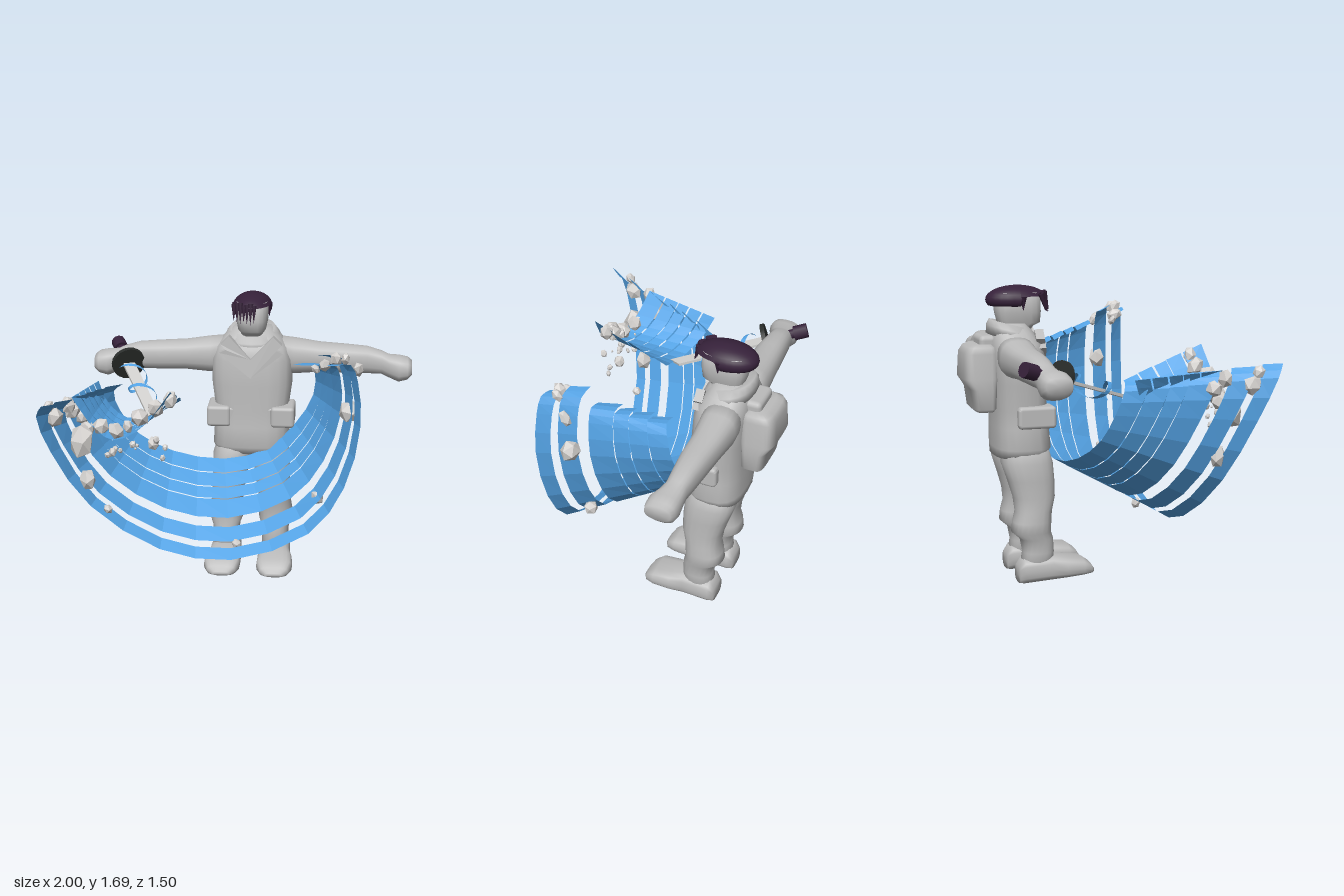
import * as THREE from 'three';
import { RoundedBoxGeometry } from 'three/addons/geometries/RoundedBoxGeometry.js';

const mat = (name, color, side = THREE.FrontSide) => {
  const m = new THREE.MeshStandardMaterial({ color, side });
  m.name = name;
  return m;
};
const V = (a) => new THREE.Vector3(...a);
const MID = 0.055; // the figure's own centre line

// Smooth closed loft. Sections: [position on axis, u centre, v centre, u radius, v radius]
function loft(axis, sections, power = 2.5, sides = 20) {
  const place = {
    x: (s, u, v) => [s, u, v], // u = y, v = z
    y: (s, u, v) => [u, s, v], // u = x, v = z
    z: (s, u, v) => [u, v, s], // u = x, v = y
  }[axis];
  const pos = [], idx = [], n = sections.length;
  const sup = (c) => Math.sign(c) * Math.abs(c) ** (2 / power);
  for (const [s, u, v, ru, rv] of sections)
    for (let i = 0; i < sides; i++) {
      const a = (i / sides) * Math.PI * 2;
      pos.push(...place(s, u + ru * sup(Math.cos(a)), v + rv * sup(Math.sin(a))));
    }
  const flip = (axis === 'y') !== (sections[n - 1][0] < sections[0][0]);
  const tri = (a, b, c) => (flip ? idx.push(a, c, b) : idx.push(a, b, c));
  for (let r = 0; r < n - 1; r++)
    for (let i = 0; i < sides; i++) {
      const j = (i + 1) % sides, a = r * sides, b = a + sides;
      tri(a + i, a + j, b + j);
      tri(a + i, b + j, b + i);
    }
  for (const r of [0, n - 1]) { // end caps
    const [s, u, v] = sections[r], c = pos.length / 3;
    pos.push(...place(s, u, v));
    for (let i = 0; i < sides; i++) {
      const a = r * sides + i, b = r * sides + (i + 1) % sides;
      r ? tri(c, a, b) : tri(c, b, a);
    }
  }
  const g = new THREE.BufferGeometry();
  g.setAttribute('position', new THREE.Float32BufferAttribute(pos, 3));
  g.setIndex(idx);
  g.computeVertexNormals();
  return g;
}

// Faceted open ribbon; edge(t, side) gives a point on either edge
function ribbon(edge, steps) {
  const pos = [], idx = [];
  for (let i = 0; i <= steps; i++) {
    for (const side of [0, 1]) pos.push(...edge(i / steps, side).toArray());
    if (i < steps) idx.push(2 * i, 2 * i + 1, 2 * i + 3, 2 * i, 2 * i + 3, 2 * i + 2);
  }
  const g = new THREE.BufferGeometry();
  g.setAttribute('position', new THREE.Float32BufferAttribute(pos, 3));
  g.setIndex(idx);
  const flat = g.toNonIndexed();
  flat.computeVertexNormals();
  return flat;
}

export function createModel() {
  const model = new THREE.Group();
  const clay = mat('clay grey', 0xbcbcbc), hairMat = mat('dark plum', 0x36213a);
  const guardMat = mat('guard black', 0x2a2d2b), steel = mat('steel', 0xd2d1cf);
  const stone = mat('pale stone', 0xd6d3d0), blue = mat('wave blue', 0x55a4e6, THREE.DoubleSide);
  const add = (name, geo, m, parent = model) => {
    const mesh = new THREE.Mesh(geo, m);
    mesh.name = name;
    parent.add(mesh);
    return mesh;
  };
  const box = (name, w, h, d, r, x, y, z) =>
    add(name, new RoundedBoxGeometry(w, h, d, 2, r), clay).position.set(x, y, z);

  // Coat and head
  add('coat', loft('y', [
    [0.73, MID, -0.43, 0.21, 0.145], [0.78, MID, -0.415, 0.232, 0.163], [0.9, MID, -0.42, 0.225, 0.158],
    [1.0, MID, -0.425, 0.22, 0.152], [1.15, MID, -0.43, 0.24, 0.157], [1.3, MID, -0.44, 0.24, 0.157],
    [1.37, MID, -0.45, 0.215, 0.148], [1.43, MID, -0.465, 0.165, 0.12], [1.48, MID, -0.475, 0.11, 0.09],
  ], 2.8), clay);
  add('head', loft('y', [
    [1.42, MID, -0.44, 0.07, 0.08], [1.46, MID, -0.43, 0.072, 0.095], [1.48, MID, -0.415, 0.082, 0.12],
    [1.54, MID, -0.42, 0.094, 0.13], [1.65, MID, -0.425, 0.096, 0.13],
  ], 3), clay);

  // Collar that rises behind the neck
  const collar = add('collar', loft('y', [
    [1.39, MID, -0.45, 0.185, 0.145], [1.44, MID, -0.455, 0.16, 0.14],
    [1.475, MID, -0.465, 0.13, 0.115], [1.465, MID, -0.46, 0.08, 0.08],
  ], 2.3), clay);
  const cp = collar.geometry.attributes.position;
  for (let i = 0; i < cp.count; i++) cp.setY(i, cp.getY(i) - (cp.getZ(i) + 0.47) * 0.25);
  collar.geometry.computeVertexNormals();

  // Lapels laid over the chest
  for (const s of [-1, 1]) {
    const outline = [[0, 1.21], [0.19, 1.35], [0.15, 1.37], [0.18, 1.4], [0.13, 1.45], [0.0, 1.32]];
    const shape = new THREE.Shape(outline.map(([x, y]) => new THREE.Vector2(MID + s * x, y)));
    const g = new THREE.ExtrudeGeometry(shape, { depth: 0.05, bevelEnabled: false });
    const p = g.attributes.position;
    for (let i = 0; i < p.count; i++) {
      const dx = p.getX(i) - MID;
      p.setZ(i, p.getZ(i) - 0.305 - (p.getY(i) - 1.2) * 0.15 - 0.7 * dx * dx);
    }
    g.computeVertexNormals();
    add('lapel', g, clay);
  }

  // Limbs, boots and hip pouches, mirrored
  for (const s of [-1, 1]) {
    const X = (d) => MID + s * d;
    add('leg', loft('y', [
      [0.8, X(0.105), -0.415, 0.1, 0.13], [0.7, X(0.12), -0.405, 0.115, 0.148], [0.6, X(0.128), -0.385, 0.107, 0.135],
      [0.5, X(0.138), -0.37, 0.1, 0.12], [0.42, X(0.146), -0.375, 0.096, 0.105], [0.36, X(0.15), -0.385, 0.102, 0.11],
      [0.3, X(0.15), -0.39, 0.102, 0.112], [0.26, X(0.15), -0.36, 0.084, 0.095], [0.18, X(0.15), -0.35, 0.08, 0.09],
      [0.06, X(0.15), -0.365, 0.085, 0.095],
    ], 2.4), clay);
    add('boot', loft('z', [
      [-0.47, X(0.152), 0.055, 0.07, 0.05], [-0.44, X(0.152), 0.075, 0.088, 0.073], [-0.28, X(0.153), 0.085, 0.092, 0.073],
      [-0.2, X(0.156), 0.083, 0.106, 0.061], [-0.1, X(0.158), 0.082, 0.108, 0.05], [-0.05, X(0.158), 0.067, 0.085, 0.03],
      [-0.03, X(0.158), 0.055, 0.05, 0.012],
    ], 3), clay);
    const arm = [
      [0.13, 1.31, -0.465, 0.11, 0.11], [0.25, 1.3, -0.475, 0.105, 0.105], [0.4, 1.295, -0.475, 0.088, 0.09],
      [0.55, 1.29, -0.47, 0.085, 0.082], [0.68, 1.285, -0.47, 0.08, 0.07], [0.77, 1.272, -0.465, 0.068, 0.062],
      [0.81, 1.255, -0.455, 0.067, 0.072], [0.87, 1.243, -0.445, 0.077, 0.088], [0.92, 1.245, -0.445, 0.065, 0.085],
      [0.945, 1.25, -0.44, 0.042, 0.072],
    ];
    add('arm', loft('x', arm.map(([d, ...rest]) => [X(d), ...rest])), clay);
    box('pouch', 0.2, 0.115, 0.2, 0.02, X(0.16), 0.968, -0.38);
    box('pouchFlap', 0.14, 0.125, 0.215, 0.02, X(0.19), 0.968, -0.37);
  }

  // Backpack, bulging at its flap, with a roll against the shoulders
  add('backpack', loft('y', [
    [0.99, MID, -0.63, 0.12, 0.05], [1.01, MID, -0.635, 0.15, 0.065], [1.12, MID, -0.64, 0.16, 0.075],
    [1.18, MID, -0.655, 0.158, 0.1], [1.32, MID, -0.65, 0.145, 0.098], [1.355, MID, -0.645, 0.135, 0.08],
    [1.37, MID, -0.64, 0.11, 0.05],
  ], 4.5, 28), clay);
  box('backpackTop', 0.2, 0.12, 0.1, 0.03, MID, 1.36, -0.61);

  // Hair: dome, deeper at the back, with a fringe to one side
  const hair = new THREE.Group();
  hair.name = 'hair';
  model.add(hair);
  const domeGeo = new THREE.SphereGeometry(1, 28, 16);
  const dp = domeGeo.attributes.position;
  for (let i = 0; i < dp.count; i++) {
    const x = dp.getX(i), y = dp.getY(i), z = dp.getZ(i);
    const floor = z < 0.12 ? 1.575 : 1.63;
    dp.setXYZ(i, MID + x * 0.116, Math.max(floor, 1.61 + y * 0.08), -0.425 + z * 0.178);
  }
  domeGeo.computeVertexNormals();
  add('hairDome', domeGeo, hairMat, hair);
  for (let i = 0; i < 7; i++) {
    const lock = add('fringeLock', new THREE.ConeGeometry(0.017, 0.1 + (i % 3) * 0.012, 6), hairMat, hair);
    lock.position.set(-0.045 + i * 0.02, 1.595, -0.295 + Math.min(i, 4) * 0.01);
    lock.rotation.x = Math.PI - 0.25;
  }
  for (const s of [-1, 1]) {
    const lock = add('sideLock', new THREE.ConeGeometry(0.022, 0.08, 6), hairMat, hair);
    lock.position.set(MID + s * 0.1, 1.59, -0.41);
    lock.rotation.x = Math.PI;
  }

  // Sword, its local y running from grip to tip
  const sword = new THREE.Group();
  sword.name = 'sword';
  const dir = V([0.22, -0.165, 0.5]).normalize();
  const side = new THREE.Vector3().crossVectors(dir, V([0, 1, 0])).normalize();
  sword.matrix.makeBasis(side, dir, new THREE.Vector3().crossVectors(side, dir)).setPosition(-0.685, 1.255, -0.38);
  sword.matrix.decompose(sword.position, sword.quaternion, sword.scale);
  model.add(sword);
  add('guard', new THREE.CylinderGeometry(0.1, 0.1, 0.025, 20), guardMat, sword);
  add('grip', new THREE.CylinderGeometry(0.027, 0.027, 0.24, 10), hairMat, sword).position.y = -0.12;
  add('pommel', new THREE.CylinderGeometry(0.042, 0.042, 0.08, 10), hairMat, sword).position.y = -0.21;
  const blade = new THREE.Shape([[-0.035, 0], [0.035, 0], [0.035, 0.58], [-0.035, 0.53]].map((p) => new THREE.Vector2(...p)));
  add('blade', new THREE.ExtrudeGeometry(blade, { depth: 0.016, bevelEnabled: false }), steel, sword).position.z = -0.008;
  for (let k = 0; k < 4; k++)
    add('bladeSwirl', ribbon((t, e) => {
      const a = k * 2.1 + t * 4.2;
      return V([Math.cos(a) * 0.07, 0.05 + k * 0.075 + t * 0.13 + e * 0.03 * Math.sin(Math.PI * t), Math.sin(a) * 0.055]);
    }, 12), blue, sword);

  // Great sweeping wave: bands between a rear and a front guide curve, hooked inward at the ends
  const rear = new THREE.CatmullRomCurve3([
    [-0.7, 1.23, -0.02], [-0.74, 1.18, -0.04], [-0.7, 1.05, -0.08], [-0.6, 0.9, -0.13], [-0.4, 0.77, -0.2], [-0.1, 0.71, -0.25],
    [0.15, 0.77, -0.28], [0.32, 0.93, -0.29], [0.43, 1.12, -0.27], [0.44, 1.28, -0.24], [0.41, 1.325, -0.22], [0.34, 1.31, -0.22]].map(V));
  const front = new THREE.CatmullRomCurve3([
    [-0.96, 1.33, 0.75], [-1.0, 1.26, 0.71], [-0.95, 1.03, 0.62], [-0.77, 0.68, 0.5], [-0.4, 0.4, 0.42], [0, 0.34, 0.4],
    [0.43, 0.51, 0.39], [0.62, 0.79, 0.4], [0.7, 1.15, 0.41], [0.68, 1.4, 0.4], [0.64, 1.49, 0.39], [0.56, 1.48, 0.38]].map(V));
  const bands = [[0, 0.145, 0], [0.155, 0.29, 0], [0.3, 0.41, 0], [0.42, 0.6, 0], [0.69, 0.83, 0.06], [0.89, 1, 0]];
  bands.forEach(([u0, u1, lift]) => add('waveBand', ribbon((t, e) => {
    const p = rear.getPoint(t).lerp(front.getPoint(t), e ? u1 : u0);
    p.x -= 0.04 * (2 * t - 1) ** 3 * (1 - e);
    p.y += lift * t ** 6;
    return p;
  }, 22), blue));

  // Small curling crest beside the sword
  const crest = [[0.12, 0.2], [0.21, 0.29], [0.3, 0.37], [0.375, 0.46], [0.47, 0.58]];
  crest.forEach(([z0, z1], i) => {
    const edge = [z0, z1].map((z) => {
      const k = (z - 0.13) / 0.44;
      return new THREE.CatmullRomCurve3([
        [-0.8 - 0.06 * k, 1.25 + 0.04 * k, z - 0.13], [-0.74, 1.14, z - 0.08], [-0.62, 1.07 + 0.02 * k, z - 0.02],
        [-0.46, 1.1 + 0.07 * k, z], [-0.31 + 0.01 * (i % 2), 1.18 + 0.18 * k, z - 0.03]].map(V));
    });
    add('crestBand', ribbon((t, e) => edge[e].getPoint(t), 10), blue);
  });

  // Stones carried by the wave: x, y, z, radius
  let seed = 7;
  const rnd = () => (seed = (seed * 16807) % 2147483647) / 2147483647;
  const rocks = new THREE.Group();
  rocks.name = 'stones';
  model.add(rocks);
  const rock = (x, y, z, r) => {
    const m = add('stone', new THREE.IcosahedronGeometry(r, 0), stone, rocks);
    m.position.set(x, y, z);
    m.scale.set(0.75 + rnd() * 0.3, 1 + rnd() * 0.35, 0.8 + rnd() * 0.3);
    m.rotation.set(rnd() * 0.8, rnd() * 6, rnd() * 0.6);
  };
  [[-0.8, 1.07, 0.53, 0.08], [-0.79, 0.82, 0.46, 0.052], [-0.93, 1.22, 0.59, 0.055], [-0.68, 0.65, 0.46, 0.026],
    [0.02, 0.39, 0.28, 0.028], [0.47, 0.66, 0.21, 0.04], [0.64, 1.18, 0.23, 0.06]].forEach((p) => rock(...p));
  [[-0.95, 1.29, 0.62, 0.035], [-0.87, 1.2, 0.4, 0.05], [-0.82, 1.16, 0.38, 0.045], [-0.88, 1.25, 0.46, 0.045],
    [-0.78, 1.12, 0.47, 0.045], [-0.7, 1.14, 0.48, 0.045], [-0.61, 1.13, 0.52, 0.05], [-0.55, 1.15, 0.5, 0.035],
    [-0.48, 1.21, 0.52, 0.055], [-0.4, 1.25, 0.48, 0.045], [-0.32, 1.3, 0.48, 0.05], [-0.42, 1.04, 0.45, 0.035],
  ].forEach((p) => rock(...p));
  [[0.45, 1.43, 0.27, 0.026], [0.5, 1.46, 0.3, 0.038], [0.56, 1.5, 0.32, 0.038], [0.61, 1.5, 0.31, 0.032],
    [0.68, 1.42, 0.23, 0.038]].forEach((p) => rock(...p));
  for (let i = 0; i < 12; i++) rock(-0.7 + rnd() * 0.35, 0.97 + rnd() * 0.14, 0.36 + rnd() * 0.18, 0.007 + rnd() * 0.016);

  return model;
}
